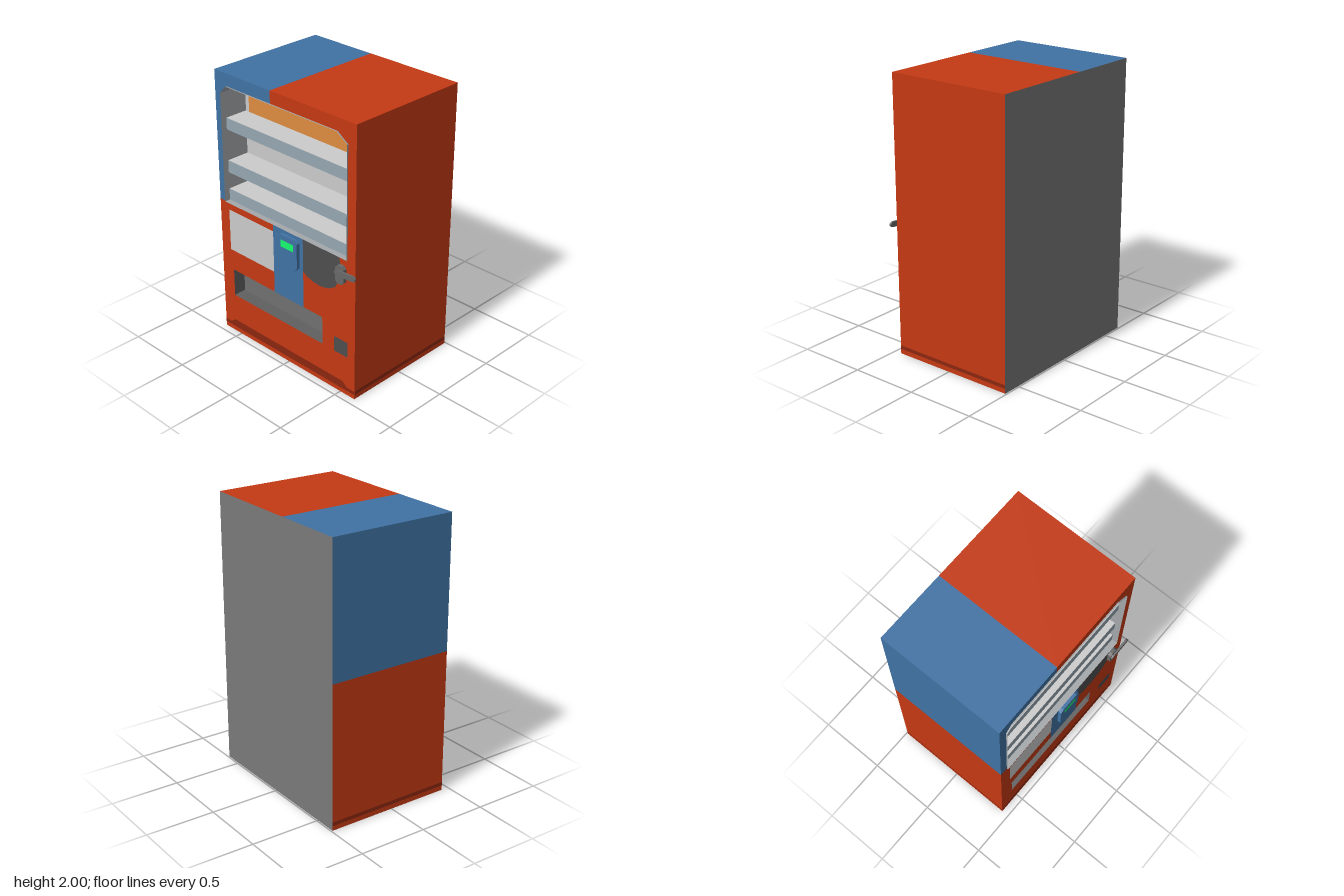
import * as THREE from 'three';

const RED = 0xc43913, BLUE = 0x4072a4, GREY = 0xcccccc, DARK = 0x4e4e4e;
const L = -0.665, R = 0.63, SPLIT = -0.13, MID = 1.045, TOP = 2, FRONT = 0.445, BACK = -0.49;

export function createModel() {
  const model = new THREE.Group();
  const add = (name, geometry, color, side = THREE.FrontSide) => {
    const mesh = new THREE.Mesh(geometry, new THREE.MeshStandardMaterial({ color, side, flatShading: true }));
    mesh.name = name;
    model.add(mesh);
    return mesh;
  };
  const toShape = pts => new THREE.Shape(pts.map(p => new THREE.Vector2(p[0], p[1])));
  const rect = (x0, y0, x1, y1) => [[x0, y0], [x1, y0], [x1, y1], [x0, y1]];

  // Flat outline facing forwards
  const panel = (name, pts, z, color, hole) => {
    const shape = toShape(pts);
    if (hole) shape.holes.push(toShape(hole));
    add(name, new THREE.ShapeGeometry(shape), color).position.z = z;
  };
  // Outline with thickness
  const slab = (name, pts, z0, z1, color) => {
    const g = new THREE.ExtrudeGeometry(toShape(pts), { depth: z1 - z0, bevelEnabled: false });
    add(name, g, color).position.z = z0;
  };
  // Four corners, anticlockwise seen from outside
  const quad = (name, corners, color) => {
    const g = new THREE.BufferGeometry();
    g.setAttribute('position', new THREE.Float32BufferAttribute(corners.flat(), 3));
    g.setIndex([0, 1, 2, 0, 2, 3]);
    g.computeVertexNormals();
    add(name, g, color);
  };
  // Recess walls joining a front outline to a back outline
  const walls = (name, front, zf, back, zb, color) => {
    const pos = [], index = [], n = front.length;
    front.forEach((p, i) => {
      pos.push(p[0], p[1], zf, back[i][0], back[i][1], zb);
      const a = 2 * i, b = 2 * ((i + 1) % n);
      index.push(a, b, a + 1, b, b + 1, a + 1);
    });
    const g = new THREE.BufferGeometry();
    g.setAttribute('position', new THREE.Float32BufferAttribute(pos, 3));
    g.setIndex(index);
    g.computeVertexNormals();
    add(name, g, color, THREE.DoubleSide);
  };

  // Cabinet shell
  const sideLeft = (y0, y1, x) => [[x, y0, BACK], [x, y0, FRONT], [x, y1, FRONT], [x, y1, BACK]];
  const sideRight = (y0, y1, x) => sideLeft(y0, y1, x).reverse();
  const roof = (x0, x1) => [[x0, TOP, FRONT], [x1, TOP, FRONT], [x1, TOP, BACK], [x0, TOP, BACK]];
  quad('redSide', sideRight(0, TOP, R), RED);
  quad('lowerSide', sideLeft(0, MID, L), RED);
  quad('upperSide', sideLeft(MID, TOP, L), BLUE);
  quad('blueRoof', roof(L, SPLIT), BLUE);
  quad('redRoof', roof(SPLIT, R), RED);
  quad('backPanel', [[R, 0, BACK], [L, 0, BACK], [L, TOP, BACK], [R, TOP, BACK]], 0x7a7a7a);
  quad('bottom', [[L, 0, BACK], [R, 0, BACK], [R, 0, FRONT], [L, 0, FRONT]], 0x606060);

  // Front skin around the window and the dispenser slot
  const slot = rect(-0.555, 0.305, 0.33, 0.515);
  panel('lowerFront', rect(L, 0, R, MID), FRONT, RED, slot);
  panel('upperFrontBlue', [[L, MID], [-0.605, MID], [-0.605, 1.85], [-0.55, 1.91],
    [SPLIT, 1.91], [SPLIT, TOP], [L, TOP]], FRONT, BLUE);
  panel('upperFrontRed', [[SPLIT, TOP], [SPLIT, 1.91], [0.47, 1.91], [0.56, 1.85],
    [0.56, MID], [R, MID], [R, TOP]], FRONT, RED);

  // Display window: slightly raised rim, tapered walls, back wall
  const rim = [[-0.605, MID], [0.56, MID], [0.56, 1.85], [0.47, 1.91], [-0.55, 1.91], [-0.605, 1.85]];
  const inner = [[-0.605, MID], [0.545, MID], [0.545, 1.84], [0.46, 1.91], [-0.55, 1.91], [-0.605, 1.85]];
  walls('windowWalls', rim, 0.455, inner, 0.235, 0xa4a8aa);
  panel('windowBack', inner, 0.235, GREY);
  panel('displaySign', rect(-0.57, 1.62, 0.475, 1.815), 0.238, 0xde8b3e);

  // Shelves with tinted front strips
  for (const [y0, y1] of [[MID, 1.13], [1.255, 1.345], [1.575, 1.66]]) {
    slab('shelf', rect(-0.604, y0, 0.556, y1), 0.235, 0.41, GREY);
    panel('shelfFront', rect(-0.604, y0, 0.557, y1), 0.412, 0x96a7b2);
  }

  // Dispenser slot
  walls('dispenserWalls', slot, FRONT, slot, 0.35, 0x606060);
  panel('dispenserBack', slot, 0.35, 0x707070);

  // Flat panels on the lower front
  const z = FRONT + 0.002;
  panel('infoPanel', rect(-0.575, 0.675, SPLIT, 0.99), z, GREY);
  panel('centreStrip', rect(SPLIT, 0.515, 0.155, MID), z, BLUE);
  panel('coinReturn', rect(0.44, 0.305, 0.565, 0.42), z, DARK);
  panel('coinPanel', [[0.155, MID], [0.155, 0.795], [0.19, 0.775], [0.25, 0.755], [0.32, 0.75],
    [0.39, 0.765], [0.45, 0.8], [0.485, 0.86], [0.5, 0.95], [0.49, MID]], z, DARK);

  // Card reader with screen
  slab('cardReader', [[-0.065, 0.78], [0.095, 0.78], [0.123, 0.81], [0.123, 0.995],
    [0.1, 1.015], [-0.04, 1.015], [-0.065, 0.99]], FRONT, 0.473, BLUE);
  panel('readerScreen', rect(-0.03, 0.925, 0.09, 0.98), 0.475, 0x15fa6f);

  // Coin lever and its mount
  slab('leverMount', [[0.475, 0.88], [0.495, 0.86], [0.53, 0.86], [0.55, 0.88], [0.55, 0.975],
    [0.53, 0.995], [0.495, 0.995], [0.475, 0.975]], FRONT, 0.473, 0x686868);
  slab('lever', [[0.48, 0.935], [0.5, 0.922], [0.55, 0.928], [0.645, 0.935], [0.66, 0.945],
    [0.66, 0.96], [0.645, 0.973], [0.55, 0.967], [0.5, 0.962], [0.48, 0.955]], 0.47, 0.485, 0x686868);

  // Dark kick band round the front and sides
  const BAND = 0x8a2710;
  panel('frontBand', [[L, 0.035], [R, 0.035], [R, 0.062], [0.56, 0.062], [0.52, 0.095],
    [-0.56, 0.095], [-0.605, 0.062], [L, 0.062]], z, BAND);
  quad('sideBand', sideRight(0.035, 0.062, R + 0.001), BAND);
  quad('sideBand', sideLeft(0.035, 0.062, L - 0.001), BAND);

  return model;
}
